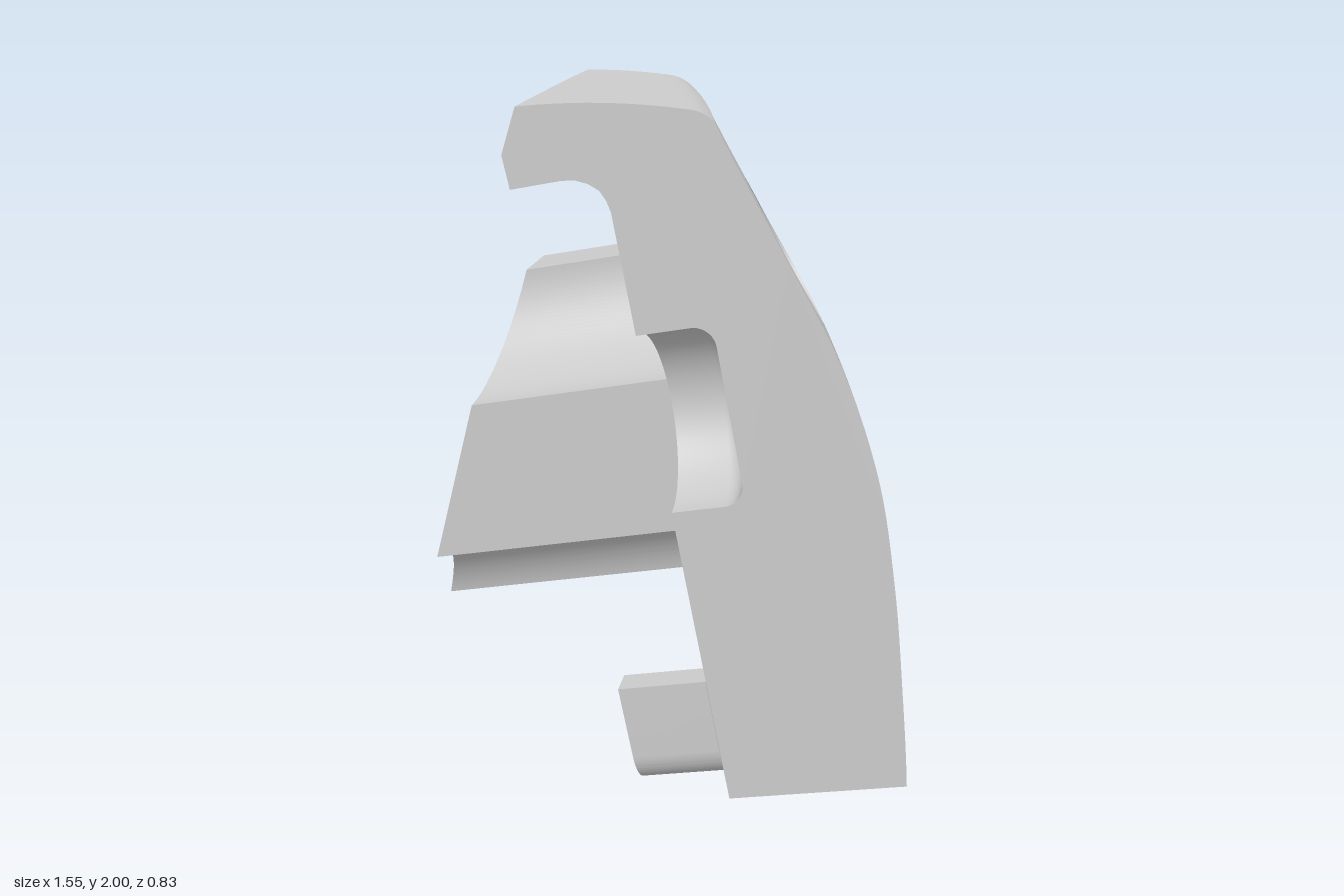
import * as THREE from 'three';
import { mergeGeometries, toCreasedNormals } from 'three/addons/utils/BufferGeometryUtils.js';

// Everything is built in a frame tilted by TILT about z: x runs through the body, y along its inner face.
const TILT = 0.192, C = Math.cos(TILT), S = Math.sin(TILT);
const Z0 = -0.415, Z1 = 0.41, INNER = 0.26, FLOOR = 0.42, BOTTOM = -0.05, CREST = 1.96;
const HOLES = [0.287, 1.475], HOLE_Z = 0.113, BORE = 0.215, DRILL = 0.127, N = 16;
const POCKET_Y = 1.111, POCKET_R = 0.255, CREASE = 0.45;
const lerp = THREE.MathUtils.lerp;
const toLocal = (x, y) => [x * C + y * S, y * C - x * S];

// Outer profile (upright x at evenly spaced heights, one spare point past each end) and its drift towards the back
const profile = new THREE.SplineCurve(
  [0.787, 0.774, 0.746, 0.71, 0.652, 0.54, 0.37, 0.2, 0.06].map((x, i) => new THREE.Vector2(x, i)));
function drift(y, z) {
  const t = (Z1 - z) / (Z1 - Z0);
  return (0.127 + 0.037 * y) * (0.8 * t + 0.2 * t * t);
}
function outerX(y, z) {
  const t = THREE.MathUtils.clamp((y - 0.1) / (CREST - 0.1), 0, 1);
  return profile.getPoint((1 + 6 * t) / 8).x - drift(y, z);
}
// Outer surface as a height over the inner face
function outer(v, z) {
  let u = 0.7;
  for (let i = 0; i < 14; i++) u = (outerX(u * S + v * C, z) + v * S) / C;
  return u;
}
const crest = z => toLocal(outerX(CREST, z), CREST)[1];
// Crown from the rounded crest to the hook
function crown(s, z) {
  const x = lerp(outerX(CREST, z), -0.32, s * s), w = x + drift(CREST, z);
  const round = Math.max(0, (w - 0.14) / 0.06);
  return toLocal(x, 2 - 0.255 * (w + 0.08) ** 2 - 0.02 * round * round);
}
// Hook tip, underside and fillet down to the inner face
const hook = [[-0.36, 1.86], [-0.34, 1.77], [-0.2, 1.798], [-0.165, 1.8], [-0.13, 1.792],
  [-0.1, 1.775], [-0.082, 1.75], [-0.07, 1.72]].map(p => toLocal(...p));
hook[hook.length - 1][0] = INNER;
const innerTop = hook[hook.length - 1][1];

// Surface grid from a rule; faces point along d/ds x d/dt
function grid(fn, ns, nt) {
  const pos = [], idx = [];
  for (let i = 0; i <= ns; i++) for (let j = 0; j <= nt; j++) pos.push(...fn(i / ns, j / nt));
  for (let i = 0; i < ns; i++) for (let j = 0; j < nt; j++) {
    const a = i * (nt + 1) + j, b = a + nt + 1;
    idx.push(a, b, b + 1, a, b + 1, a + 1);
  }
  const g = new THREE.BufferGeometry();
  g.setAttribute('position', new THREE.Float32BufferAttribute(pos, 3));
  g.setIndex(idx);
  return g;
}
function bare(g, flip) {
  g.deleteAttribute('uv');
  g.deleteAttribute('normal');
  if (flip) g.index.array.reverse();
  return g;
}
const vec = p => new THREE.Vector2(p[0], p[1]);
const zAt = t => lerp(Z0, Z1, t);

// Outer skin between two heights
function band(from, to, rows) {
  return grid((s, t) => {
    const z = zAt(t), v = lerp(from, typeof to === 'function' ? to(z) : to, s);
    return [outer(v, z), v, z];
  }, rows, N);
}
// Outer skin around a counterbored hole, with its walls and step
function holePatch(cy) {
  const lo = cy - 0.25, hi = cy + 0.25;
  const corners = [[lo, Z0], [hi, Z0], [hi, Z1], [lo, Z1]];
  const edge = t => {
    const k = Math.round(t * 4 * N), a = corners[Math.floor(k / N) % 4], b = corners[(Math.floor(k / N) + 1) % 4];
    return [lerp(a[0], b[0], (k % N) / N), lerp(a[1], b[1], (k % N) / N)];
  };
  const ring = (t, r) => {
    const q = edge(t), y = q[0] - cy, z = q[1] - HOLE_Z, l = Math.hypot(y, z);
    return [cy + r * y / l, HOLE_Z + r * z / l];
  };
  const M = 4 * N;
  return [
    grid((s, t) => {
      const p = ring(t, BORE), q = edge(t), v = lerp(p[0], q[0], s), z = lerp(p[1], q[1], s);
      return [outer(v, z), v, z];
    }, 6, M),
    grid((s, t) => { const p = ring(t, BORE); return [lerp(FLOOR, outer(...p), s), ...p]; }, 1, M),
    grid((s, t) => [FLOOR, ...ring(t, lerp(DRILL, BORE, s))], 1, M),
    grid((s, t) => [lerp(INNER, FLOOR, s), ...ring(t, DRILL)], 1, M),
  ];
}

// Half-round pocket: radius against depth
const pocketProfile = [[POCKET_R, 0], [POCKET_R, 0.15]];
for (let i = 1; i <= 6; i++) {
  const a = i / 6 * Math.PI / 2;
  pocketProfile.push([POCKET_R - 0.06 + 0.06 * Math.cos(a), 0.15 + 0.06 * Math.sin(a)]);
}
pocketProfile.push([0, 0.21]);

// Flat end of the body at one z
function endFace(z, pocket) {
  const pts = [[INNER, BOTTOM]];
  for (let i = 0; i <= 64; i++) {
    const v = lerp(BOTTOM, crest(z), i / 64);
    pts.push([outer(v, z), v]);
  }
  for (let i = 1; i <= 20; i++) pts.push(crown(i / 20, z));
  pts.push(...hook);
  if (pocket) {
    const half = pocketProfile.slice(0, -1);
    half.forEach(([r, h]) => pts.push([INNER + h, POCKET_Y + r]));
    half.reverse().forEach(([r, h]) => pts.push([INNER + h, POCKET_Y - r]));
  }
  return bare(new THREE.ShapeGeometry(new THREE.Shape(pts.map(vec))).translate(0, 0, z), !pocket);
}

function bodyGeometry() {
  // Inner face with two drilled holes and the pocket mouth
  const inner = new THREE.Shape();
  inner.moveTo(Z0, BOTTOM).lineTo(Z1, BOTTOM).lineTo(Z1, POCKET_Y - POCKET_R);
  inner.absarc(Z1, POCKET_Y, POCKET_R, -Math.PI / 2, -Math.PI * 1.5, true);
  inner.lineTo(Z1, innerTop).lineTo(Z0, innerTop);
  HOLES.forEach(y => inner.holes.push(new THREE.Path().absarc(HOLE_Z, y, DRILL, 0, Math.PI * 2, true)));
  const innerFace = bare(new THREE.ShapeGeometry(inner, 32).rotateY(-Math.PI / 2).translate(INNER, 0, 0));

  const pocket = bare(new THREE.LatheGeometry(pocketProfile.map(vec), 32, Math.PI / 2, Math.PI), true)
    .rotateZ(-Math.PI / 2).translate(INNER, POCKET_Y, Z1);
  const [low, high] = HOLES;
  const parts = [
    band(BOTTOM, low - 0.25, 2), band(low + 0.25, high - 0.25, 14), band(high + 0.25, crest, 8),
    ...HOLES.flatMap(holePatch),
    grid((s, t) => [...crown(s, zAt(t)), zAt(t)], 20, N),
    grid((s, t) => {
      const k = Math.round(s * hook.length);
      return [...(k ? hook[k - 1] : crown(1, zAt(t))), zAt(t)];
    }, hook.length, N),
    grid((s, t) => [lerp(INNER, outer(BOTTOM, zAt(t)), s), BOTTOM, zAt(t)], 1, N),
    innerFace, pocket, endFace(Z1, true), endFace(Z0, false),
  ];
  return toCreasedNormals(mergeGeometries(parts), CREASE);
}

// Lug: cross-section hollowed round the two screw axes, with a slanted free end
function lugGeometry() {
  const R = 0.32, low = 0.368, top = 1.476, foot = 0.44, dip = Math.asin((foot - low) / R);
  const s = new THREE.Shape();
  s.moveTo(Z0, foot).lineTo(HOLE_Z - R * Math.cos(dip), foot);
  s.absarc(HOLE_Z, low, R, Math.PI - dip, Math.PI / 2, true);
  s.absarc(HOLE_Z, top, R, -Math.PI / 2, -Math.PI, true);
  s.lineTo(Z0, top);
  const g = new THREE.ExtrudeGeometry(s, { depth: 1, bevelEnabled: false, curveSegments: 20 }).rotateY(-Math.PI / 2);
  const p = g.attributes.position;
  for (let i = 0; i < p.count; i++)
    p.setX(i, p.getX(i) < -0.5 ? -0.7 + (p.getY(i) - foot) * 0.484 : INNER);
  return toCreasedNormals(g, CREASE);
}

// Tab: a curved lip wrapped round the lower screw axis
function tabGeometry() {
  const s = new THREE.Shape(), front = 0.415, r = 0.115, a = Math.acos(-0.053 / BORE);
  s.moveTo(0.06, 0).lineTo(front - r, 0);
  s.absarc(front - r, r, r, -Math.PI / 2, 0, false);
  s.lineTo(front, 0.336).lineTo(HOLE_Z + BORE, 0.336);
  s.absarc(HOLE_Z, HOLES[0], BORE, 0, -a, true);
  const g = new THREE.ExtrudeGeometry(s, { depth: INNER, bevelEnabled: false, curveSegments: 20 });
  return toCreasedNormals(g.rotateY(-Math.PI / 2).translate(INNER, 0, 0), CREASE);
}

export function createModel() {
  const group = new THREE.Group();
  group.name = 'hookedBracket';
  const tilted = new THREE.Group();
  tilted.name = 'tiltedFrame';
  tilted.rotation.z = TILT;
  group.add(tilted);
  const material = new THREE.MeshStandardMaterial({ color: 0xcccccc, side: THREE.DoubleSide });
  for (const [name, geometry] of [['body', bodyGeometry()], ['lug', lugGeometry()], ['tab', tabGeometry()]]) {
    const mesh = new THREE.Mesh(geometry, material);
    mesh.name = name;
    tilted.add(mesh);
  }
  return group;
}
